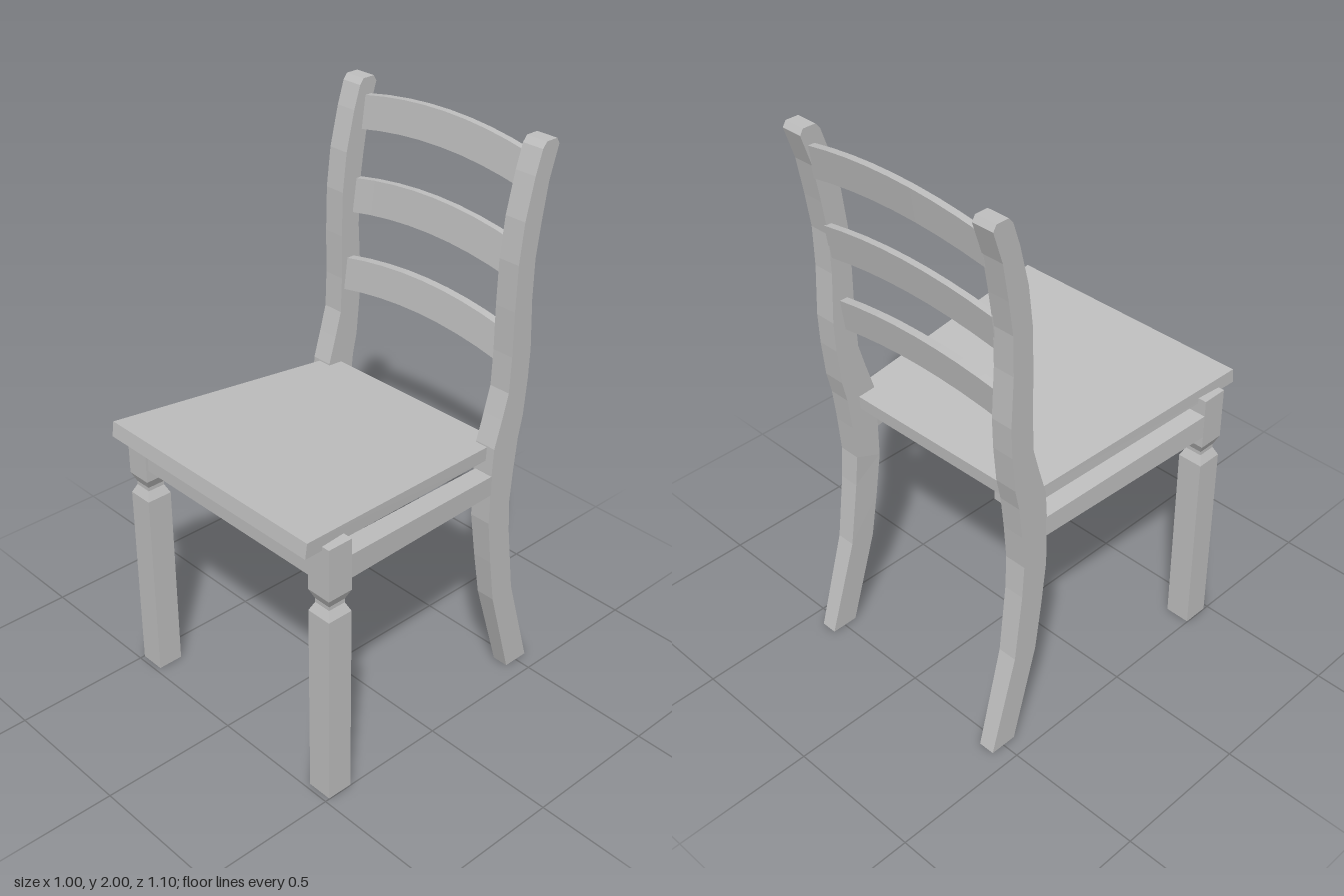
import * as THREE from 'three';

// Flat-faced solid through a row of corner rings (counter-clockwise seen from the last ring).
function loft(rings) {
  const pos = [];
  const n = rings[0].length;
  const tri = (a, b, c) => pos.push(...a, ...b, ...c);
  for (let r = 0; r + 1 < rings.length; r++) {
    const a = rings[r], b = rings[r + 1];
    for (let i = 0; i < n; i++) {
      const j = (i + 1) % n;
      tri(a[i], a[j], b[j]);
      tri(a[i], b[j], b[i]);
    }
  }
  const first = rings[0], last = rings[rings.length - 1];
  for (let i = 1; i + 1 < n; i++) {
    tri(first[0], first[i + 1], first[i]);
    tri(last[0], last[i], last[i + 1]);
  }
  const g = new THREE.BufferGeometry();
  g.setAttribute('position', new THREE.Float32BufferAttribute(pos, 3));
  g.computeVertexNormals();
  return g;
}

// Rectangle ring for a solid running along z
const ringZ = (x0, x1, y0, y1, z) => [[x0, y0, z], [x1, y0, z], [x1, y1, z], [x0, y1, z]];

// Back post outline, bottom to top: [front z, front y, back z, back y]
const POST = [
  [-0.45, 0, -0.55, 0],
  [-0.35, 0.35, -0.445, 0.36],
  [-0.325, 0.52, -0.412, 0.61],
  [-0.304, 0.69, -0.403, 0.73],
  [-0.304, 0.88, -0.413, 0.86],
  [-0.31, 0.98, -0.426, 0.98],
  [-0.34, 1.08, -0.443, 1.06],
  [-0.365, 1.17, -0.455, 1.19],
  [-0.37, 1.30, -0.459, 1.30],
  [-0.369, 1.46, -0.449, 1.48],
  [-0.373, 1.62, -0.451, 1.62],
  [-0.39, 1.76, -0.468, 1.74],
  [-0.424, 1.90, -0.49, 1.87],
  [-0.45, 1.98, -0.525, 1.98],
  [-0.466, 2.0, -0.513, 2.0],
];

// Front leg sections: [height, inset]
const LEG = [[0, 0], [0.72, 0], [0.752, 0.015], [0.766, 0.015], [0.8, 0], [0.99, 0]];

// Slats: [end bottom y, end top y, bottom front z, top front z, thickness]
const SLATS = [
  [1.255, 1.37, -0.381, -0.396, 0.03],
  [1.535, 1.655, -0.42, -0.437, 0.024],
  [1.825, 1.94, -0.459, -0.475, 0.025],
];

export function createModel() {
  const chair = new THREE.Group();
  chair.name = 'chair';
  const paint = new THREE.MeshStandardMaterial({ color: 0xbfbfbf });
  paint.name = 'plain grey';
  const add = (name, geometry) => {
    const mesh = new THREE.Mesh(geometry, paint);
    mesh.name = name;
    chair.add(mesh);
  };

  for (const [side, s] of [['left', 1], ['right', -1]]) {
    const span = (a, b) => (s > 0 ? [a, b] : [-b, -a]);

    // Curved back post, slimmer on the inside towards the floor
    add(side + 'BackPost', loft(POST.map(([zf, yf, zb, yb]) => {
      const [x0, x1] = span(0.357 + 0.02 * Math.max(0, 1 - yf / 0.7), 0.437);
      return [[x0, yb, zb], [x0, yf, zf], [x1, yf, zf], [x1, yb, zb]].map((p, i, all) => all[(4 - i) % 4]).reverse();
    })));

    // Square front leg with a notched neck
    add(side + 'FrontLeg', loft(LEG.map(([y, d]) => {
      const [x0, x1] = span(0.405 + d, 0.498 - d);
      const z0 = 0.387 + d, z1 = 0.482 - d;
      return [[x0, y, z0], [x0, y, z1], [x1, y, z1], [x1, y, z0]];
    })));

    // Sloping side rail
    add(side + 'SideRail', loft([
      ringZ(...span(0.363, 0.435), 0.802, 0.876, -0.33),
      ringZ(...span(0.42, 0.498), 0.845, 0.931, 0.39),
    ]));
  }

  // Front rail between the front legs
  add('frontRail', loft([ringZ(-0.41, 0.41, 0.843, 0.931, 0.4), ringZ(-0.41, 0.41, 0.843, 0.931, 0.472)]));

  // Tapered seat board, tilted back
  add('seat', loft([
    [[-0.403, 0.921, -0.363], [0.4, 0.921, -0.374], [0.4, 0.971, -0.377], [-0.403, 0.971, -0.366]],
    [[-0.481, 0.98, 0.554], [0.474, 0.98, 0.554], [0.474, 1.034, 0.546], [-0.481, 1.034, 0.546]],
  ]));

  // Arched, slightly bowed back slats
  SLATS.forEach(([yb, yt, zb, zt, t], k) => {
    const rings = [];
    for (let i = 0; i <= 8; i++) {
      const u = i / 4 - 1;
      const rise = 0.036 * (1 - u * u), bow = 0.006 * (1 - u * u);
      const x = u * 0.362;
      const y0 = yb + rise, y1 = yt + rise, z0 = zb - bow, z1 = zt - bow;
      rings.push([[x, y0, z0 - t], [x, y1, z1 - t], [x, y1, z1], [x, y0, z0]]);
    }
    add('backSlat' + (k + 1), loft(rings));
  });

  return chair;
}
